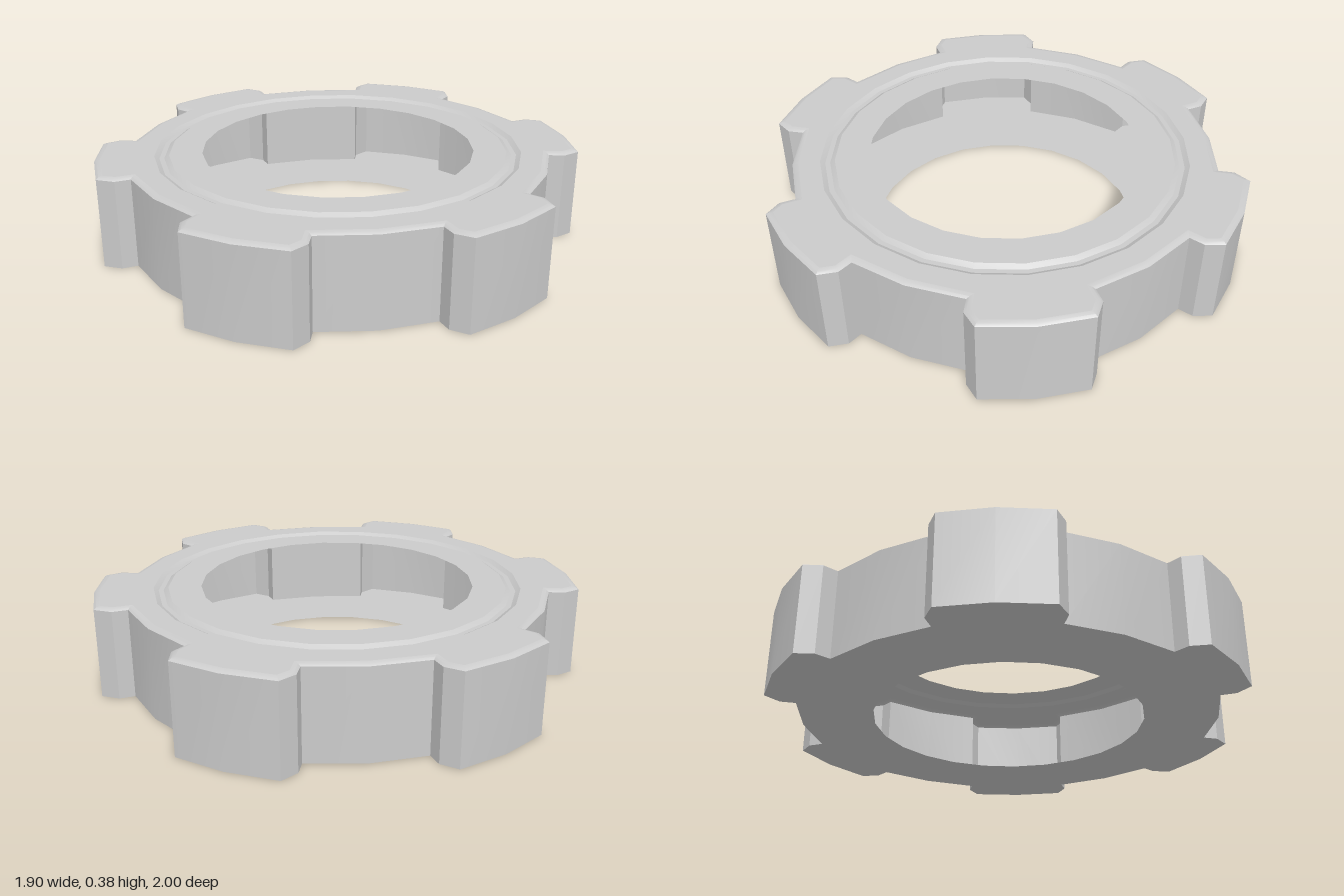
import * as THREE from 'three';
import { toCreasedNormals } from 'three/addons/utils/BufferGeometryUtils.js';

const HEIGHT = 0.38, HOLE = 0.565, RING = 0.76, SIDES = 24, LUGS = 6;

// Closed outline of the ring body with six flared lugs, counter-clockwise
function makeOutline() {
  const half = [[0.225, 0.845], [0.24, 0.907], [0.208, 0.978]];
  const lug = [...half, [0, 1], ...half.map(([x, y]) => [-x, y]).reverse(),
    [-0.436, 0.755]];
  const points = [];
  for (let i = 0; i < LUGS; i++) {
    for (const [x, y] of lug) {
      points.push(new THREE.Vector2(x, y).rotateAround(new THREE.Vector2(), i * Math.PI * 2 / LUGS));
    }
  }
  return points;
}

// Mitred inward offset of a counter-clockwise outline
function inset(points, d) {
  const n = points.length;
  return points.map((p, i) => {
    const a = p.clone().sub(points[(i + n - 1) % n]).normalize();
    const b = points[(i + 1) % n].clone().sub(p).normalize();
    const na = new THREE.Vector2(-a.y, a.x), nb = new THREE.Vector2(-b.y, b.x);
    return p.clone().addScaledVector(na.clone().add(nb), d / (1 + na.dot(nb)));
  });
}

// Skin between stacked outlines given as { points, y }
function loft(levels) {
  const n = levels[0].points.length, positions = [], index = [];
  for (const { points, y } of levels) for (const p of points) positions.push(p.x, y, -p.y);
  for (let l = 0; l < levels.length - 1; l++) {
    for (let i = 0; i < n; i++) {
      const a = l * n + i, b = l * n + (i + 1) % n;
      index.push(a, b, b + n, a, b + n, a + n);
    }
  }
  const g = new THREE.BufferGeometry();
  g.setAttribute('position', new THREE.Float32BufferAttribute(positions, 3));
  g.setIndex(index);
  return toCreasedNormals(g, 0.5);
}

// Flat plate with a round 24-sided hole, facing up or down
function plate(points, radius, y, facing) {
  const shape = new THREE.Shape(points);
  const hole = [];
  for (let i = 0; i < SIDES; i++) {
    const t = -i * Math.PI * 2 / SIDES;
    hole.push(new THREE.Vector2(Math.cos(t) * radius, Math.sin(t) * radius));
  }
  shape.holes.push(new THREE.Path(hole));
  return new THREE.ShapeGeometry(shape).rotateX(-facing * Math.PI / 2).translate(0, y, 0);
}

export function createModel() {
  const group = new THREE.Group();
  const material = new THREE.MeshStandardMaterial({ color: 0xcccccc, side: THREE.DoubleSide });
  const add = (name, geometry) => {
    const mesh = new THREE.Mesh(geometry, material);
    mesh.name = name;
    group.add(mesh);
  };
  const outline = makeOutline();
  const rim = inset(outline, 0.025);

  // Thin outer wall with a small two-step bevel at the top
  add('outerWall', loft([{ points: outline, y: 0 }, { points: outline, y: HEIGHT - 0.01 }]));
  add('topBevel', loft([
    { points: outline, y: HEIGHT - 0.01 },
    { points: inset(outline, 0.01), y: HEIGHT - 0.003 },
    { points: rim, y: HEIGHT },
  ]));

  // Hollow inside: separate bottom and top plates, no inner wall
  add('bottomPlate', plate(outline, HOLE, 0, -1));
  add('topPlate', plate(rim, RING, HEIGHT, 1));

  // Shallow groove and flat collar around the top opening
  const profile = [[RING, 0], [0.74, -0.012], [0.72, -0.012], [0.7, 0], [HOLE, 0]]
    .map(([r, dy]) => new THREE.Vector2(r, HEIGHT + dy));
  add('groovedCollar', toCreasedNormals(new THREE.LatheGeometry(profile, SIDES), 0.3));

  return group;
}
